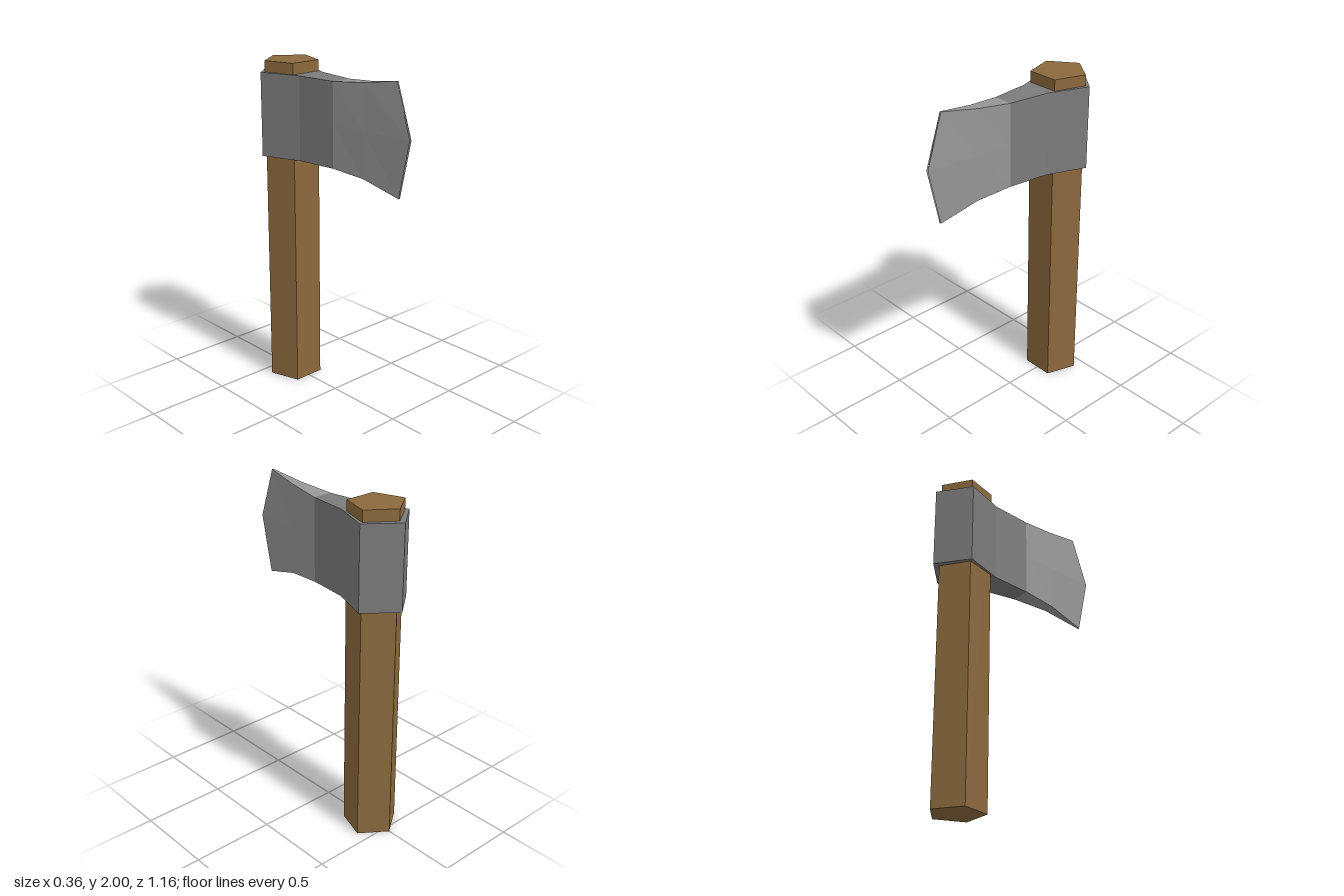
import * as THREE from 'three';

const material = (color) => new THREE.MeshStandardMaterial({ color, flatShading: true });

// Skins a row of equally sized rings and caps both ends
function loft(rings) {
  const n = rings[0].length;
  const last = (rings.length - 1) * n;
  const index = [];
  for (let r = 0; r < rings.length - 1; r++) {
    for (let i = 0; i < n; i++) {
      const a = r * n + i, b = r * n + (i + 1) % n;
      index.push(a, b, b + n, a, b + n, a + n);
    }
  }
  for (let i = 1; i < n - 1; i++) {
    index.push(0, i + 1, i);
    index.push(last, last + i, last + i + 1);
  }
  const geometry = new THREE.BufferGeometry();
  geometry.setAttribute('position', new THREE.Float32BufferAttribute(rings.flat(2), 3));
  geometry.setIndex(index);
  const flat = geometry.toNonIndexed();
  flat.computeVertexNormals();
  return flat;
}

export function createModel() {
  const group = new THREE.Group();
  const add = (name, geometry, color) => {
    const mesh = new THREE.Mesh(geometry, material(color));
    mesh.name = name;
    group.add(mesh);
    return mesh;
  };

  // Five-sided wooden handle with one edge pointing back
  const handle = add('handle', new THREE.CylinderGeometry(0.163, 0.163, 2, 5, 1, false, Math.PI), 0x8b693d);
  handle.position.set(0, 1, -0.377);

  // Collar around the handle, tapering forward to the blade: [x, z] outline
  const half = [[0.06, 0.05], [0.09, -0.2], [0.18, -0.435]];
  const outline = [...half, [0, -0.58], ...half.map(([x, z]) => [-x, z]).reverse()];
  const shape = new THREE.Shape(outline.map(([x, z]) => new THREE.Vector2(x, -z)));
  const collar = new THREE.ExtrudeGeometry(shape, { depth: 0.495, bevelEnabled: false });
  collar.rotateX(-Math.PI / 2);
  add('headCollar', collar, 0x7b7b7b).position.y = 1.44;

  // Flared blade: each section lists top, middle and bottom as [half width, y, z]
  const sections = [
    [[0.06, 1.935, 0.05], [0.06, 1.69, 0.05], [0.06, 1.44, 0.05]],
    [[0.033, 1.955, 0.26], [0.038, 1.69, 0.27], [0.034, 1.42, 0.27]],
    [[0.005, 1.99, 0.48], [0.006, 1.69, 0.582], [0.005, 1.355, 0.51]],
  ];
  const rings = sections.map((s) => [
    ...s.map(([x, y, z]) => [-x, y, z]),
    ...s.map(([x, y, z]) => [x, y, z]).reverse(),
  ]);
  add('blade', loft(rings), 0x969696);

  return group;
}
